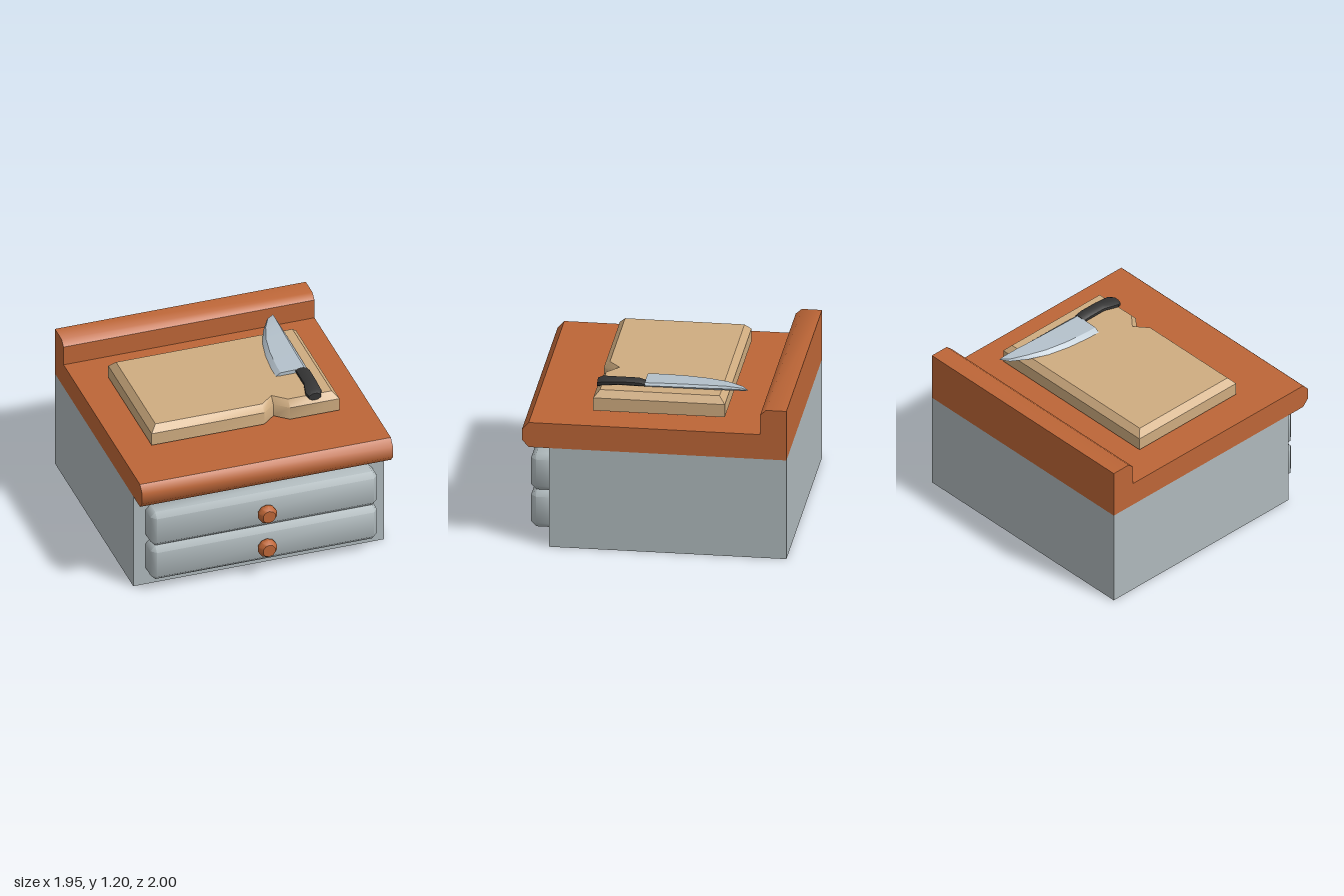
import * as THREE from 'three';
import { toCreasedNormals } from 'three/addons/utils/BufferGeometryUtils.js';
import { ConvexGeometry } from 'three/addons/geometries/ConvexGeometry.js';

const material = (name, color) => new THREE.MeshStandardMaterial({ name, color });

// Joins equal-length loops of [x, y, z] points and caps both ends.
// Loops run counter-clockwise seen from the last loop's end; u, v are the cap's axes.
function loft(loops, u, v, crease) {
  const n = loops[0].length, index = [];
  for (let k = 0; k < loops.length - 1; k++) {
    for (let i = 0; i < n; i++) {
      const a = k * n + i, b = k * n + (i + 1) % n;
      index.push(a, b, b + n, a, b + n, a + n);
    }
  }
  const cap = (k, reverse) => {
    const contour = loops[k].map(p => new THREE.Vector2(p[u], p[v]));
    for (const tri of THREE.ShapeUtils.triangulateShape(contour, [])) {
      const t = [...tri].sort((p, q) => p - q).map(i => i + k * n);
      index.push(...(reverse ? t.reverse() : t));
    }
  };
  cap(0, true);
  cap(loops.length - 1, false);
  const geo = new THREE.BufferGeometry();
  geo.setAttribute('position', new THREE.Float32BufferAttribute(loops.flat(2), 3));
  geo.setIndex(index);
  return toCreasedNormals(geo, crease);
}

export function createModel() {
  const group = new THREE.Group();
  group.name = 'kitchenCabinet';
  const paint = material('greyPaint', 0xafb9bc);
  const wood = material('warmWood', 0xbd6637);
  const boardWood = material('paleWood', 0xcfac80);
  const steel = material('steel', 0xb4c1cb);
  const black = material('blackHandle', 0x343434);
  const add = (name, geo, mat) => {
    const mesh = new THREE.Mesh(geo, mat);
    mesh.name = name;
    group.add(mesh);
    return mesh;
  };

  // Cabinet body
  add('cabinetBody', new THREE.BoxGeometry(1.95, 0.785, 1.76), paint).position.set(0, 0.3925, -0.12);

  // Worktop with rounded nose and raised back ledge, as a [z, y] profile
  const profile = [
    [-1, 0.785], [-1, 1.175], [-0.85, 1.175], [-0.805, 1.135], [-0.805, 0.98],
    [0.91, 0.98], [0.96, 0.925], [0.96, 0.84], [0.91, 0.785],
  ];
  add('worktop', loft([-0.975, 0.975].map(x => profile.map(([z, y]) => [x, y, z])), 2, 1, 0.8), wood);

  // Drawers with chamfered edges, each with a turned knob
  const knobProfile = [[0, 0], [0.05, 0], [0.073, 0.03], [0.073, 0.055], [0.05, 0.09], [0, 0.09]]
    .map(([r, h]) => new THREE.Vector2(r, h));
  const knobGeo = toCreasedNormals(new THREE.LatheGeometry(knobProfile, 10), 0.7);
  knobGeo.rotateX(Math.PI / 2);
  for (const [name, y] of [['lower', 0.247], ['upper', 0.542]]) {
    const points = [];
    for (const sx of [-1, 1]) for (const sy of [-1, 1]) {
      for (const z of [0.755, 0.87]) {
        points.push(new THREE.Vector3(sx * 0.88, y + sy * 0.105, z));
        points.push(new THREE.Vector3(sx * 0.842, y + sy * 0.145, z));
      }
      points.push(new THREE.Vector3(sx * 0.842, y + sy * 0.105, 0.91));
    }
    add(name + 'Drawer', toCreasedNormals(new ConvexGeometry(points), 0.9), paint);
    add(name + 'Knob', knobGeo, wood).position.set(0, y, 0.91);
  }

  // Cutting board with a notch in its front edge and a chamfered top
  const outline = [[-0.73, 0.465], [0.145, 0.465], [0.245, 0.38], [0.345, 0.465],
    [0.73, 0.465], [0.73, -0.51], [-0.73, -0.51]];
  const inner = [[-0.685, 0.42], [0.145, 0.42], [0.245, 0.335], [0.345, 0.42],
    [0.685, 0.42], [0.685, -0.465], [-0.685, -0.465]];
  const level = (pts, y) => pts.map(([x, z]) => [x, y, z]);
  add('cuttingBoard', loft([level(outline, 1), level(outline, 1.1), level(inner, 1.15)], 0, 2, 0.72), boardWood);

  // Knife blade, tip to heel: [z, cutting edge x, bottom y, top y]
  const blade = [
    [-0.665, 0.6, 1.168, 1.172], [-0.62, 0.54, 1.162, 1.183], [-0.5, 0.47, 1.157, 1.19],
    [-0.35, 0.412, 1.154, 1.188], [-0.18, 0.377, 1.152, 1.186], [0, 0.36, 1.151, 1.183],
    [0.105, 0.36, 1.15, 1.18],
  ].map(([z, x, b, t]) => {
    const s = 0.605 - x, mid = (b + t) / 2;
    const bevel = x + s * 0.15, spine = 0.605 - s * 0.09;
    return [[x, b + 0.002, z], [bevel, b, z], [spine, b, z], [0.605, mid, z], [spine, t, z], [bevel, t - 0.004, z]];
  });
  add('knifeBlade', loft(blade, 0, 1, 0.5), steel);

  // Knife handle, eight-sided: [z, centre x, half width, bottom y, top y]
  const handle = [
    [0.1, 0.558, 0.044, 1.148, 1.185], [0.15, 0.558, 0.048, 1.148, 1.2],
    [0.3, 0.557, 0.048, 1.15, 1.2], [0.42, 0.543, 0.061, 1.135, 1.192],
    [0.455, 0.543, 0.045, 1.122, 1.178],
  ].map(([z, cx, w, b, t]) => Array.from({ length: 8 }, (_, i) => {
    const a = (i + 0.5) * Math.PI / 4, k = 1 / Math.cos(Math.PI / 8);
    return [cx + w * k * Math.cos(a), (b + t) / 2 + (t - b) / 2 * k * Math.sin(a), z];
  }));
  add('knifeHandle', loft(handle, 0, 1, 0.6), black);

  return group;
}
